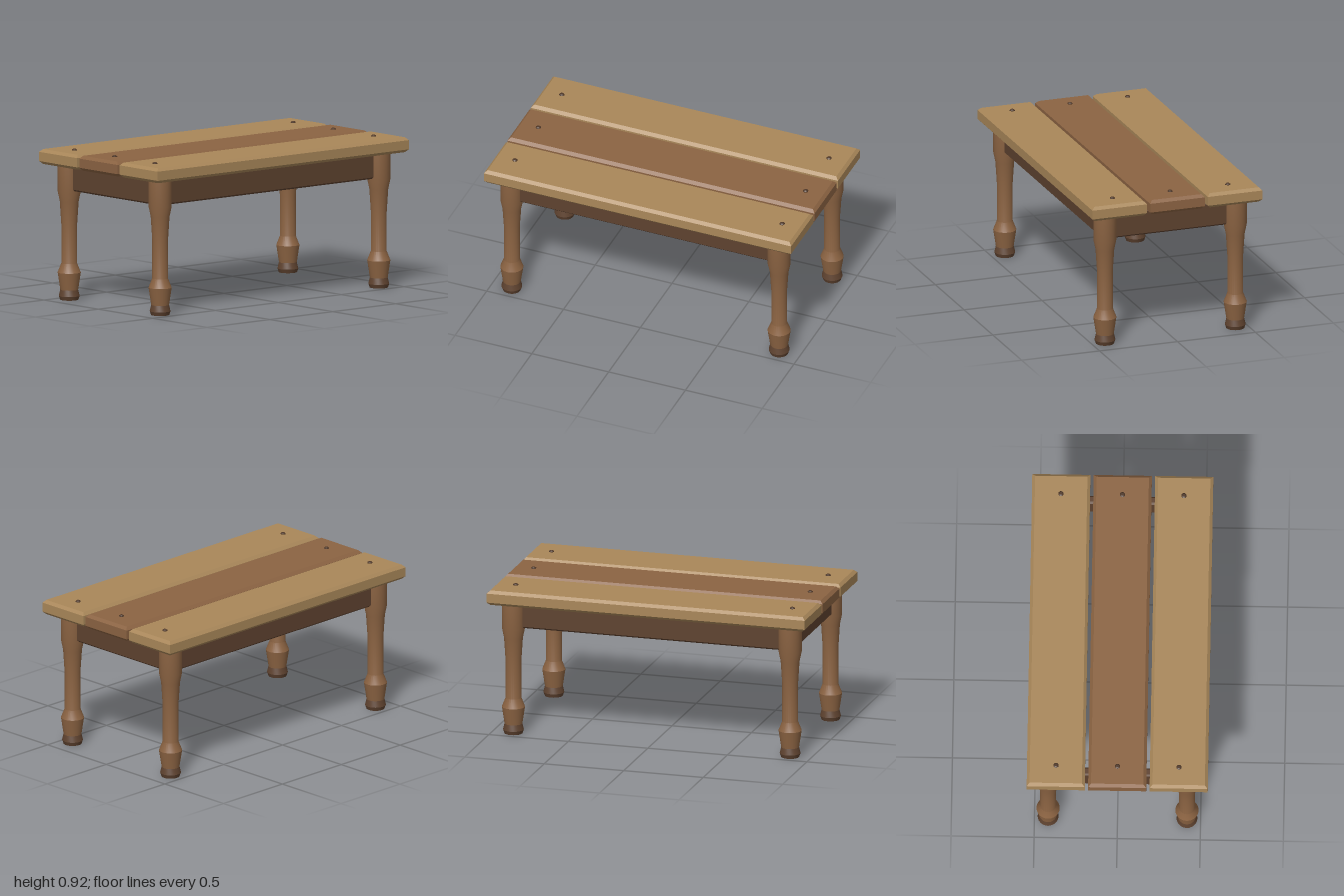
import * as THREE from 'three';
import { toCreasedNormals } from 'three/addons/utils/BufferGeometryUtils.js';

const material = (name, color) => {
  const m = new THREE.MeshStandardMaterial({ color });
  m.name = name;
  return m;
};

// Board standing on y = 0 with chamfered top and bottom edges and square corners
function board(w, h, d, c) {
  const x = w / 2 - c, z = d / 2 - c;
  const shape = new THREE.Shape([
    new THREE.Vector2(-x, -z), new THREE.Vector2(x, -z),
    new THREE.Vector2(x, z), new THREE.Vector2(-x, z),
  ]);
  const g = new THREE.ExtrudeGeometry(shape, {
    depth: h - 2 * c, bevelEnabled: true, bevelThickness: c, bevelSize: c, bevelSegments: 1,
  });
  return g.translate(0, 0, c).rotateX(-Math.PI / 2);
}

// Turned part from [radius, height] pairs, bottom to top
function turned(profile, sides) {
  const pts = profile.map(([r, y]) => new THREE.Vector2(r, y));
  return toCreasedNormals(new THREE.LatheGeometry(pts, sides), 0.42);
}

export function createModel() {
  const model = new THREE.Group();
  model.name = 'plankTable';
  const lightWood = material('lightWood', 0xa98759);
  const midWood = material('midWood', 0x8b6342);
  const darkWood = material('darkWood', 0x5e422f);
  const nailMetal = material('darkNail', 0x4f3828);

  const add = (name, geometry, mat, x, y, z, parent = model) => {
    const mesh = new THREE.Mesh(geometry, mat);
    mesh.name = name;
    mesh.position.set(x, y, z);
    parent.add(mesh);
  };

  const legX = 0.87, legZ = 0.418, underside = 0.823, topY = 0.914;

  // Three top planks, each with a nail at both ends
  const plank = board(2, topY - underside, 0.35, 0.0175);
  const nail = turned([[0.016, -0.01], [0.016, 0.003], [0.009, 0.009], [0, 0.009]], 12);
  for (const i of [-1, 0, 1]) {
    const z = i * 0.37;
    add('plank', plank, i ? lightWood : midWood, 0, underside, z);
    for (const s of [-1, 1]) add('nail', nail, nailMetal, s * legX, topY, z);
  }

  // Apron rails running between the legs
  const longRail = board(2 * legX, 0.157, 0.05, 0.01);
  const shortRail = board(0.05, 0.157, 2 * legZ, 0.01);
  for (const s of [-1, 1]) {
    add('longRail', longRail, darkWood, 0, 0.667, s * legZ);
    add('shortRail', shortRail, darkWood, s * legX, 0.667, 0);
  }

  // Turned legs with dark feet
  const shaft = turned([
    [0.054, 0.061], [0.07, 0.166], [0.048, 0.222], [0.048, 0.461],
    [0.057, 0.598], [0.07, 0.66], [0.07, underside], [0, underside],
  ], 24);
  const foot = turned([[0, 0], [0.055, 0], [0.063, 0.023], [0.054, 0.061]], 24);
  for (const sx of [-1, 1]) {
    for (const sz of [-1, 1]) {
      const leg = new THREE.Group();
      leg.name = `${sz > 0 ? 'front' : 'back'}${sx > 0 ? 'Left' : 'Right'}Leg`;
      leg.position.set(sx * legX, 0, sz * legZ);
      add('legShaft', shaft, midWood, 0, 0, 0, leg);
      add('foot', foot, darkWood, 0, 0, 0, leg);
      model.add(leg);
    }
  }
  return model;
}
